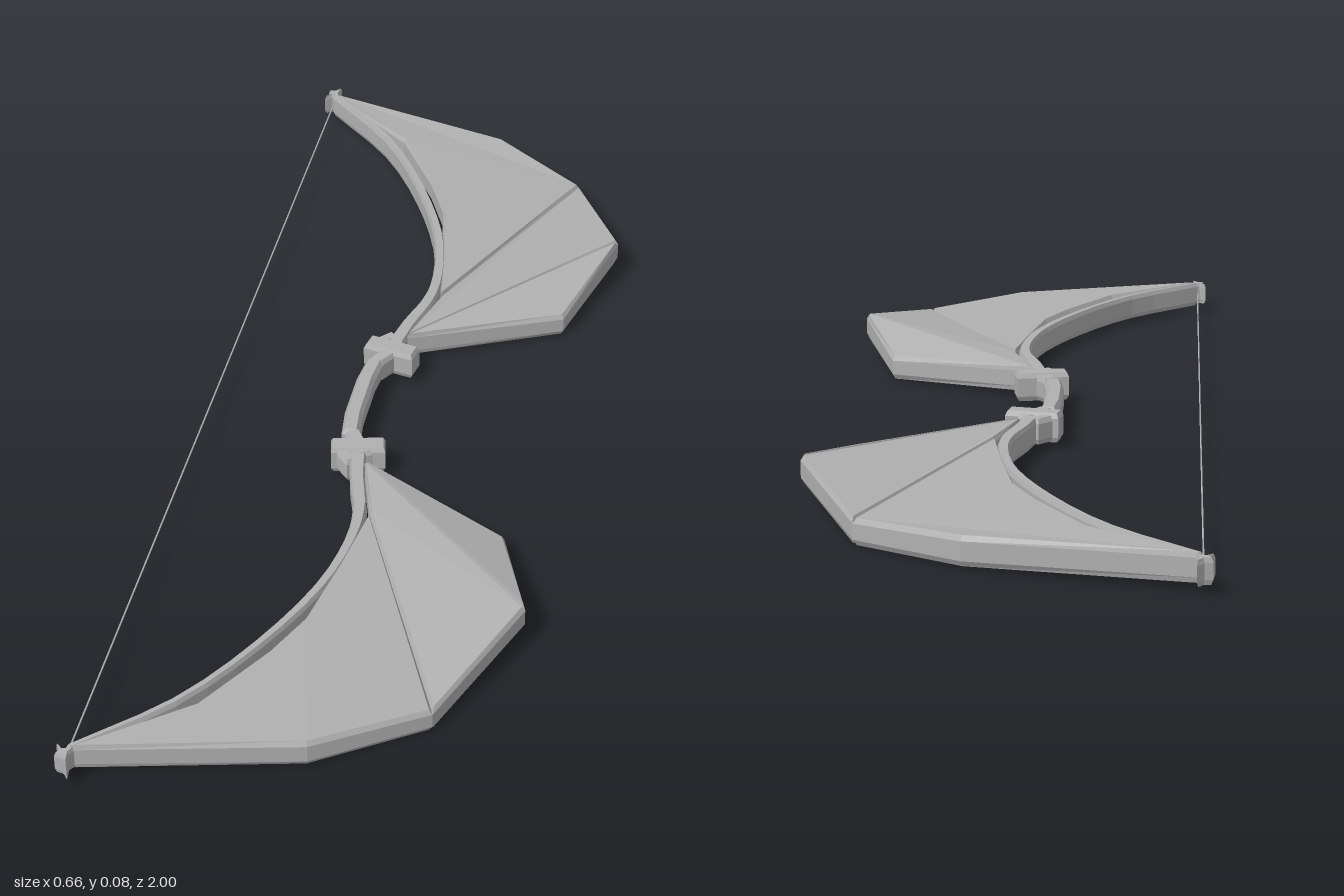
import * as THREE from 'three';

const steel = new THREE.MeshStandardMaterial({ color: 0xb0b0b0 });
steel.name = 'plain grey';
steel.flatShading = true;

// Plate with chamfered rims; each outline point is [x, z, bottom, top]
function plate(name, outline, bevel = 0.005, drop = 0.009) {
  let pts = outline.map(([x, z, lo, hi]) => ({ p: new THREE.Vector2(x, -z), lo, hi }));
  if (THREE.ShapeUtils.area(pts.map((q) => q.p)) < 0) pts = pts.reverse();
  const n = pts.length;
  const inset = pts.map((q, i) => {
    const a = q.p.clone().sub(pts[(i + n - 1) % n].p).normalize();
    const b = pts[(i + 1) % n].p.clone().sub(q.p).normalize();
    const m = new THREE.Vector2(-a.y - b.y, a.x + b.x);
    const len = Math.max(m.length(), 0.001);
    return m.multiplyScalar((bevel * Math.min(2 / len, 2.2)) / len).add(q.p);
  });
  // Four rings from the underside to the top
  const rings = [
    pts.map((q, i) => [inset[i].x, q.lo, -inset[i].y]),
    pts.map((q) => [q.p.x, q.lo + drop, -q.p.y]),
    pts.map((q) => [q.p.x, q.hi - drop, -q.p.y]),
    pts.map((q, i) => [inset[i].x, q.hi, -inset[i].y]),
  ];
  const v = [];
  for (let k = 0; k < 3; k++) {
    for (let i = 0; i < n; i++) {
      const j = (i + 1) % n;
      const [a, b, c, d] = [rings[k][i], rings[k][j], rings[k + 1][j], rings[k + 1][i]];
      v.push(...a, ...b, ...c, ...a, ...c, ...d);
    }
  }
  for (const [a, b, c] of THREE.ShapeUtils.triangulateShape(inset, [])) {
    v.push(...rings[3][a], ...rings[3][b], ...rings[3][c]);
    v.push(...rings[0][a], ...rings[0][c], ...rings[0][b]);
  }
  const g = new THREE.BufferGeometry();
  g.setAttribute('position', new THREE.Float32BufferAttribute(v, 3));
  g.computeVertexNormals();
  const mesh = new THREE.Mesh(g, steel);
  mesh.name = name;
  return mesh;
}

// Straight chamfered bar between two [x, z] points
function bar(name, [x0, z0], [x1, z1], width, lo, hi) {
  const len = Math.hypot(x1 - x0, z1 - z0);
  const px = (-(z1 - z0) / len) * width / 2;
  const pz = ((x1 - x0) / len) * width / 2;
  return plate(name, [
    [x0 + px, z0 + pz, lo, hi], [x1 + px, z1 + pz, lo, hi],
    [x1 - px, z1 - pz, lo, hi], [x0 - px, z0 - pz, lo, hi],
  ], 0.004, 0.009);
}

// Curved limb from the clasp to the string tip
function limb(s) {
  const ctrl = [
    [-0.025, 0.165], [-0.012, 0.23], [0.007, 0.3], [0.012, 0.37], [-0.008, 0.5],
    [-0.072, 0.66], [-0.172, 0.825], [-0.312, 0.965],
  ];
  const curve = new THREE.CatmullRomCurve3(ctrl.map(([x, z]) => new THREE.Vector3(x, 0, z)));
  const inner = [], outer = [], steps = 22;
  for (let i = 0; i <= steps; i++) {
    const t = i / steps;
    const p = curve.getPoint(t);
    const d = curve.getTangent(t);
    const w = THREE.MathUtils.lerp(0.014, 0.006, t);
    inner.push([p.x - d.z * w, s * (p.z + d.x * w), 0.013, 0.06]);
    outer.push([p.x + d.z * w, s * (p.z - d.x * w), 0.013, 0.06]);
  }
  return plate('limb', [...inner, ...outer.reverse()], 0.003, 0.008);
}

// Membrane corners: [x, z, bottom, top]
const root = [-0.01, 0.185, 0.014, 0.061];
const heel = [0.26, 0.32, 0.003, 0.047];
const peak = [0.33, 0.53, 0.035, 0.082];
const valley = [0.222, 0.76, 0.001, 0.045];
const fold = [0.028, 0.32, 0.012, 0.061];
const panels = {
  rearPanel: [root, heel, peak],
  middlePanel: [root, peak, valley, fold],
  tipPanel: [
    fold, valley, [0.047, 0.88, 0.006, 0.055], [-0.312, 0.967, 0.013, 0.061],
    [-0.143, 0.83, 0.011, 0.06], [-0.06, 0.69, 0.011, 0.06],
    [-0.02, 0.6, 0.01, 0.06], [0.005, 0.46, 0.01, 0.06],
  ],
};

function createWing(s) {
  const wing = new THREE.Group();
  wing.name = s > 0 ? 'frontWing' : 'backWing';
  const flip = (o) => o.map(([x, z, lo, hi]) => [x, z * s, lo, hi]);
  for (const [name, outline] of Object.entries(panels)) wing.add(plate(name, flip(outline)));
  wing.add(limb(s));

  // Crossed bars that clasp the wing to the grip
  wing.add(bar('claspCross', [-0.075, s * 0.155], [0.018, s * 0.135], 0.035, 0.012, 0.064));
  wing.add(bar('claspBar', [-0.048, s * 0.105], [-0.012, s * 0.165], 0.028, 0.014, 0.06));
  wing.add(bar('claspHook', [-0.065, s * 0.15], [-0.03, s * 0.188], 0.022, 0.014, 0.06));

  // Waisted nock that holds the string
  const nock = [
    [-0.333, 0.958], [-0.32, 0.968], [-0.302, 0.962], [-0.308, 0.975],
    [-0.306, 0.998], [-0.317, 0.985], [-0.33, 0.982], [-0.324, 0.97],
  ];
  wing.add(plate('nock', flip(nock.map(([x, z]) => [x, z, 0.016, 0.058])), 0.002, 0.008));

  // Rivets on the underside
  for (const [x, z, y] of [[0.045, 0.275, 0.011], [0.085, 0.35, 0.014], [0.11, 0.43, 0.016]]) {
    const rivet = new THREE.Mesh(new THREE.SphereGeometry(0.012, 8, 6), steel);
    rivet.name = 'rivet';
    rivet.scale.y = 0.75;
    rivet.position.set(x, y, z * s);
    wing.add(rivet);
  }
  return wing;
}

export function createModel() {
  const model = new THREE.Group();
  model.name = 'wingedBow';

  // Slightly bowed handle
  const h = (x, z) => [x, z, 0.016, 0.06];
  model.add(plate('grip', [
    h(-0.066, -0.11), h(-0.073, -0.05), h(-0.073, 0.05), h(-0.066, 0.11),
    h(-0.034, 0.11), h(-0.04, 0.05), h(-0.04, -0.05), h(-0.034, -0.11),
  ], 0.006, 0.01));

  for (const s of [1, -1]) model.add(createWing(s));

  // String between the two nocks
  const string = new THREE.Mesh(new THREE.CylinderGeometry(0.0015, 0.0015, 1.94, 6), steel);
  string.name = 'string';
  string.rotation.x = Math.PI / 2;
  string.position.set(-0.316, 0.037, 0);
  model.add(string);
  return model;
}
